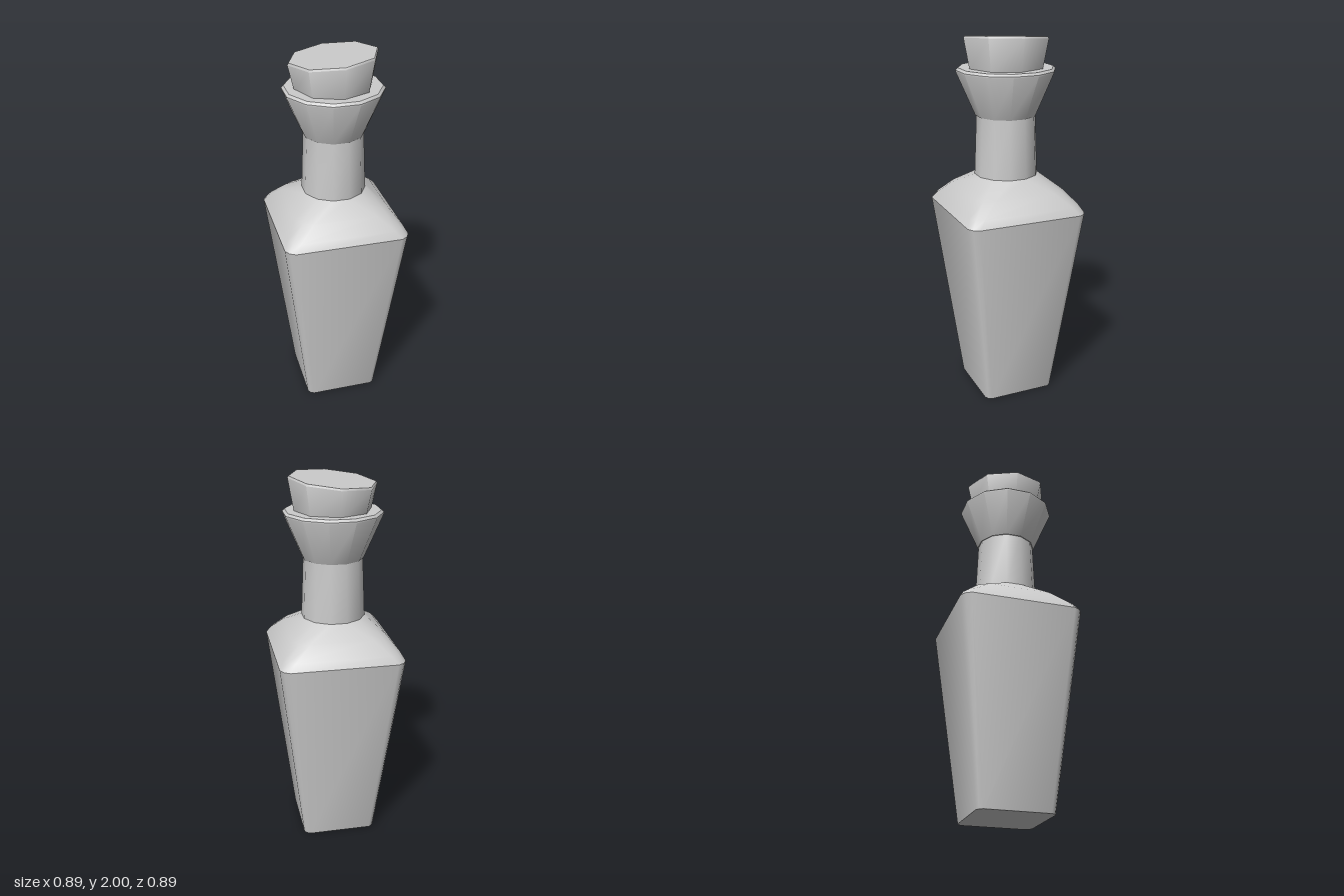
import * as THREE from 'three';
import { toCreasedNormals } from 'three/addons/utils/BufferGeometryUtils.js';

const material = new THREE.MeshStandardMaterial({ color: 0xcccccc });

// Regular ring of n points, counter-clockwise seen from above
function circle(n, r, y) {
  return Array.from({ length: n }, (_, i) => {
    const a = (i / n) * Math.PI * 2;
    return new THREE.Vector3(r * Math.cos(a), y, -r * Math.sin(a));
  });
}

// Diamond ring whose four corners are rounded by three points each
function diamond(r, y) {
  const up = new THREE.Vector3(0, 1, 0);
  const points = [];
  for (let k = 0; k < 4; k++) {
    for (const [x, z] of [[0.978, 0.079], [1, 0], [0.978, -0.079]]) {
      points.push(new THREE.Vector3(x * r, y, z * r).applyAxisAngle(up, k * Math.PI / 2));
    }
  }
  return points;
}

// Ring between a diamond and a 12-sided circle, matched corner by corner
function blend(t, y) {
  const round = circle(12, 0.17, y);
  return diamond(0.445, y).map((p, i) => p.lerp(round[(i + 11) % 12], t));
}

// Skin a stack of rings, with optional flat ends
function loft(name, rings, capBottom = false, capTop = false, crease = 0.85) {
  const n = rings[0].length;
  const points = rings.flat();
  const index = [];
  for (let i = 0; i < rings.length - 1; i++) {
    for (let j = 0; j < n; j++) {
      const a = i * n + j, b = i * n + (j + 1) % n;
      index.push(a, b, b + n, a, b + n, a + n);
    }
  }
  const top = (rings.length - 1) * n;
  for (let j = 1; j < n - 1; j++) {
    if (capBottom) index.push(0, j + 1, j);
    if (capTop) index.push(top, top + j, top + j + 1);
  }
  const geometry = new THREE.BufferGeometry().setFromPoints(points);
  geometry.setIndex(index);
  const mesh = new THREE.Mesh(toCreasedNormals(geometry, crease), material);
  mesh.name = name;
  return mesh;
}

export function createModel() {
  const bottle = new THREE.Group();
  bottle.name = 'bottle';

  // Tapered square body standing on its narrow end
  bottle.add(loft('body', [diamond(0.27, 0), diamond(0.445, 1.07)], true));

  // Domed shoulder turning the square into the round neck
  bottle.add(loft('shoulder',
    [[0, 1.07], [0.14, 1.112], [0.48, 1.182], [1, 1.255]].map(([t, y]) => blend(t, y))));

  bottle.add(loft('neck', [circle(12, 0.17, 1.25), circle(12, 0.157, 1.58)]));

  // Flared mouth with a thin bevelled lip
  bottle.add(loft('mouth',
    [circle(12, 0.162, 1.572), circle(12, 0.262, 1.803), circle(12, 0.262, 1.81), circle(12, 0.25, 1.822)],
    true, true, 0.6));

  // Eight-sided stopper with a slanted, finely bevelled top
  const slant = (r, y) => circle(8, r, y).map((p) => {
    p.y += 0.1 * p.x - 0.03 * p.z;
    return p;
  });
  bottle.add(loft('stopper',
    [circle(8, 0.2, 1.81), slant(0.232, 1.967), slant(0.226, 1.977)], true, true, 0.82));

  return bottle;
}
